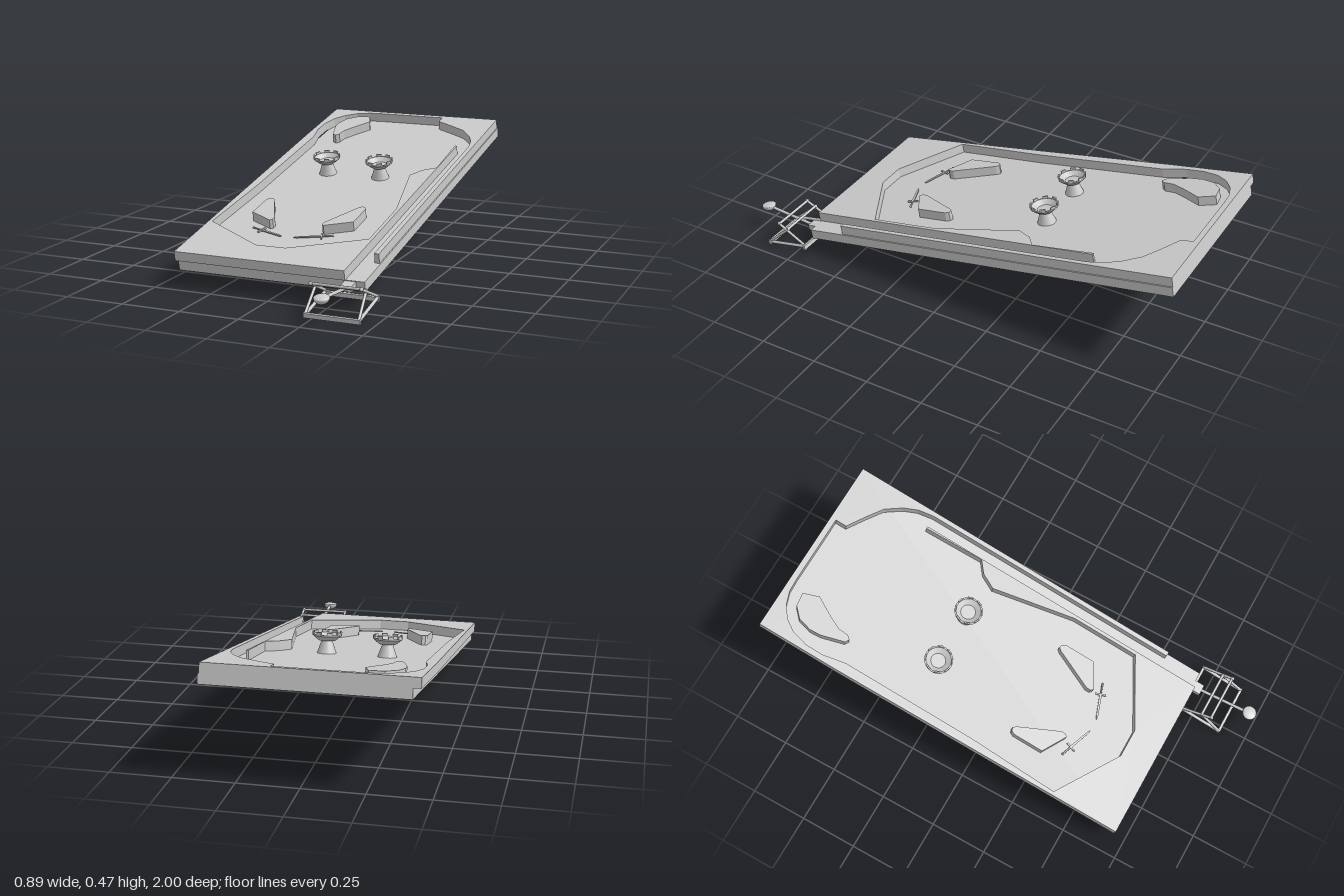
import * as THREE from 'three';

const TILT = THREE.MathUtils.degToRad(10.7);
const FLOOR = 0.042, RIM = 0.083; // heights above the underside of the table

const grey = new THREE.MeshStandardMaterial({ color: 0xcccccc });
const greyBoth = new THREE.MeshStandardMaterial({ color: 0xcccccc, side: THREE.DoubleSide });
const greyFlat = new THREE.MeshStandardMaterial({ color: 0xcccccc, side: THREE.DoubleSide, flatShading: true });

function add(parent, name, geometry, material = grey) {
  const mesh = new THREE.Mesh(geometry, material);
  mesh.name = name;
  parent.add(mesh);
  return mesh;
}

function box(parent, name, size, pos) {
  const mesh = add(parent, name, new THREE.BoxGeometry(...size));
  mesh.position.set(...pos);
  return mesh;
}

// Level z of a point on the rim's top surface, converted to table depth
const depth = z => (z - RIM * Math.sin(TILT)) / Math.cos(TILT);

// Upright block standing on the playfield, from an x/z outline
function block(parent, name, outline) {
  const shape = new THREE.Shape(outline.map(([x, z]) => new THREE.Vector2(x, -depth(z))));
  const geo = new THREE.ExtrudeGeometry(shape, { depth: RIM - FLOOR, bevelEnabled: false });
  geo.rotateX(-Math.PI / 2).translate(0, FLOOR, 0);
  return add(parent, name, geo);
}

// Round bar between two points
function bar(parent, name, a, b, radius = 0.006) {
  const p = new THREE.Vector3(...a), q = new THREE.Vector3(...b);
  const dir = q.clone().sub(p);
  const mesh = add(parent, name, new THREE.CylinderGeometry(radius, radius, dir.length(), 10));
  mesh.position.copy(p).add(q).multiplyScalar(0.5);
  mesh.quaternion.setFromUnitVectors(new THREE.Vector3(0, 1, 0), dir.normalize());
  return mesh;
}

function makeBumper() {
  const g = new THREE.Group();
  g.name = 'bumper';
  const stem = [[0.04, FLOOR], [0.02, 0.1]].map(p => new THREE.Vector2(...p));
  add(g, 'bumperStem', new THREE.LatheGeometry(stem, 24), greyBoth);
  const bowl = [[0.018, 0.093], [0.036, 0.095], [0.06, 0.115], [0.061, 0.121], [0.054, 0.121], [0.032, 0.104], [0, 0.104]];
  add(g, 'bumperBowl', new THREE.LatheGeometry(bowl.map(p => new THREE.Vector2(...p)), 24), greyFlat);
  // Raised teeth around the rim
  for (let i = 0; i < 8; i++) {
    const a = (i + 0.5) * Math.PI / 4;
    const tooth = box(g, 'bumperTooth', [0.023, 0.012, 0.006], [Math.sin(a) * 0.057, 0.125, Math.cos(a) * 0.057]);
    tooth.rotation.y = a;
  }
  return g;
}

// Sword-shaped flipper pointing along +x
function makeFlipper() {
  const g = new THREE.Group();
  g.name = 'flipper';
  const blade = new THREE.Shape([[0, -0.005], [0.1, -0.004], [0.115, 0], [0.1, 0.004], [0, 0.005]].map(p => new THREE.Vector2(...p)));
  const geo = new THREE.ExtrudeGeometry(blade, { depth: 0.005, bevelEnabled: false });
  add(g, 'flipperBlade', geo.rotateX(-Math.PI / 2).translate(0, -0.0025, 0));
  box(g, 'flipperGuard', [0.007, 0.007, 0.046], [0, 0, 0]);
  bar(g, 'flipperGrip', [-0.045, 0, 0], [0, 0, 0], 0.0035);
  const pommel = add(g, 'flipperPommel', new THREE.SphereGeometry(0.005, 10, 8));
  pommel.position.x = -0.047;
  return g;
}

function makePlungerStand() {
  const g = new THREE.Group();
  g.name = 'plungerStand';
  // Side frames, tied together by cross bars
  for (const [low, top] of [[0.221, 0.222], [0.438, 0.428]]) {
    bar(g, 'bottomRail', [low, 0.013, 0.885], [low, 0.052, 0.7], 0.007);
    bar(g, 'frontStrut', [low, 0.016, 0.885], [top, 0.107, 0.785]);
    bar(g, 'rearStrut', [top, 0.12, 0.835], [low, 0.06, 0.7]);
    const cap = add(g, 'strutCap', new THREE.SphereGeometry(0.008, 10, 8));
    cap.position.set(top, 0.12, 0.835);
  }
  bar(g, 'upperCrossBar', [0.215, 0.12, 0.833], [0.433, 0.12, 0.833]);
  bar(g, 'upperCrossBar', [0.215, 0.105, 0.79], [0.433, 0.105, 0.79]);
  for (const [y, z] of [[0.011, 0.885], [0.047, 0.697]]) {
    const cross = box(g, 'lowerCrossBar', [0.23, 0.019, 0.011], [0.33, y, z]);
    cross.rotation.x = TILT;
  }
  // Plunger with a half-round knob
  const guide = box(g, 'plungerGuide', [0.046, 0.025, 0.045], [0.325, 0.088, 0.715]);
  guide.rotation.x = TILT;
  bar(g, 'plungerRod', [0.325, 0.085, 0.7], [0.325, 0.108, 0.95], 0.007);
  const knob = new THREE.Group();
  knob.name = 'plungerKnob';
  knob.position.set(0.325, 0.114, 0.968);
  knob.rotation.x = TILT;
  add(knob, 'knobBowl', new THREE.SphereGeometry(0.031, 24, 10, 0, Math.PI * 2, Math.PI / 2, Math.PI / 2), greyBoth).scale.y = 0.8;
  const lid = add(knob, 'knobTop', new THREE.SphereGeometry(0.031, 24, 6, 0, Math.PI * 2, 0, Math.PI / 2));
  lid.scale.y = 0.28;
  g.add(knob);
  return g;
}

export function createModel() {
  const model = new THREE.Group();
  model.name = 'pinballTable';

  const table = new THREE.Group();
  table.name = 'table';
  table.position.y = 0.196;
  table.rotation.x = TILT;
  model.add(table);

  // Base slab: its upper face is the playfield
  box(table, 'playfield', [0.805, FLOOR, 1.72], [-0.0175, FLOOR / 2, -0.158]);

  // Rim wall, including the lane divider and its kicker
  block(table, 'rim', [
    [-0.432, 0.71], [0.305, 0.71], [0.305, -0.62], [0.295, -0.62],
    [0.302, -0.35], [0.25, -0.31], [0.215, -0.245], [0.29, 0.12], [0.29, 0.42],
    [-0.005, 0.575], [-0.135, 0.575], [-0.42, 0.405], [-0.405, 0], [-0.405, -0.6],
    [-0.425, -0.7], [-0.424, -0.78], [-0.405, -0.85], [-0.37, -0.9], [-0.32, -0.937], [-0.26, -0.957], [-0.2, -0.96],
    [0.115, -0.96], [0.115, -0.91], [0.2, -0.86], [0.27, -0.815], [0.32, -0.75], [0.348, -0.69], [0.36, -0.62],
    [0.36, 0.54], [0.38, 0.54], [0.38, -0.985], [-0.45, -0.985], [-0.45, -0.62],
  ]);

  // Upper corner deflector
  block(table, 'deflector', [
    [-0.3, -0.9], [-0.24, -0.908], [-0.215, -0.84], [-0.265, -0.755], [-0.292, -0.7], [-0.296, -0.655],
    [-0.31, -0.64], [-0.328, -0.65], [-0.357, -0.75], [-0.36, -0.8], [-0.343, -0.86],
  ]);

  // Mirrored slingshots and flippers
  const sling = [[0.23, 0.145], [0.222, 0.13], [0.207, 0.125], [0.195, 0.138], [0.112, 0.31], [0.112, 0.33], [0.122, 0.34], [0.23, 0.28]];
  for (const side of [-1, 1]) {
    block(table, 'slingshot', sling.map(([x, z]) => [-0.065 + side * x, z]));
    const flipper = makeFlipper();
    flipper.position.set(-0.072 + side * 0.135, 0.052, depth(0.378));
    flipper.rotation.y = side < 0 ? -0.34 : Math.PI + 0.34;
    table.add(flipper);
  }

  for (const x of [-0.195, 0.058]) {
    const bumper = makeBumper();
    bumper.position.set(x, 0, -0.302);
    table.add(bumper);
  }

  model.add(makePlungerStand());
  return model;
}
